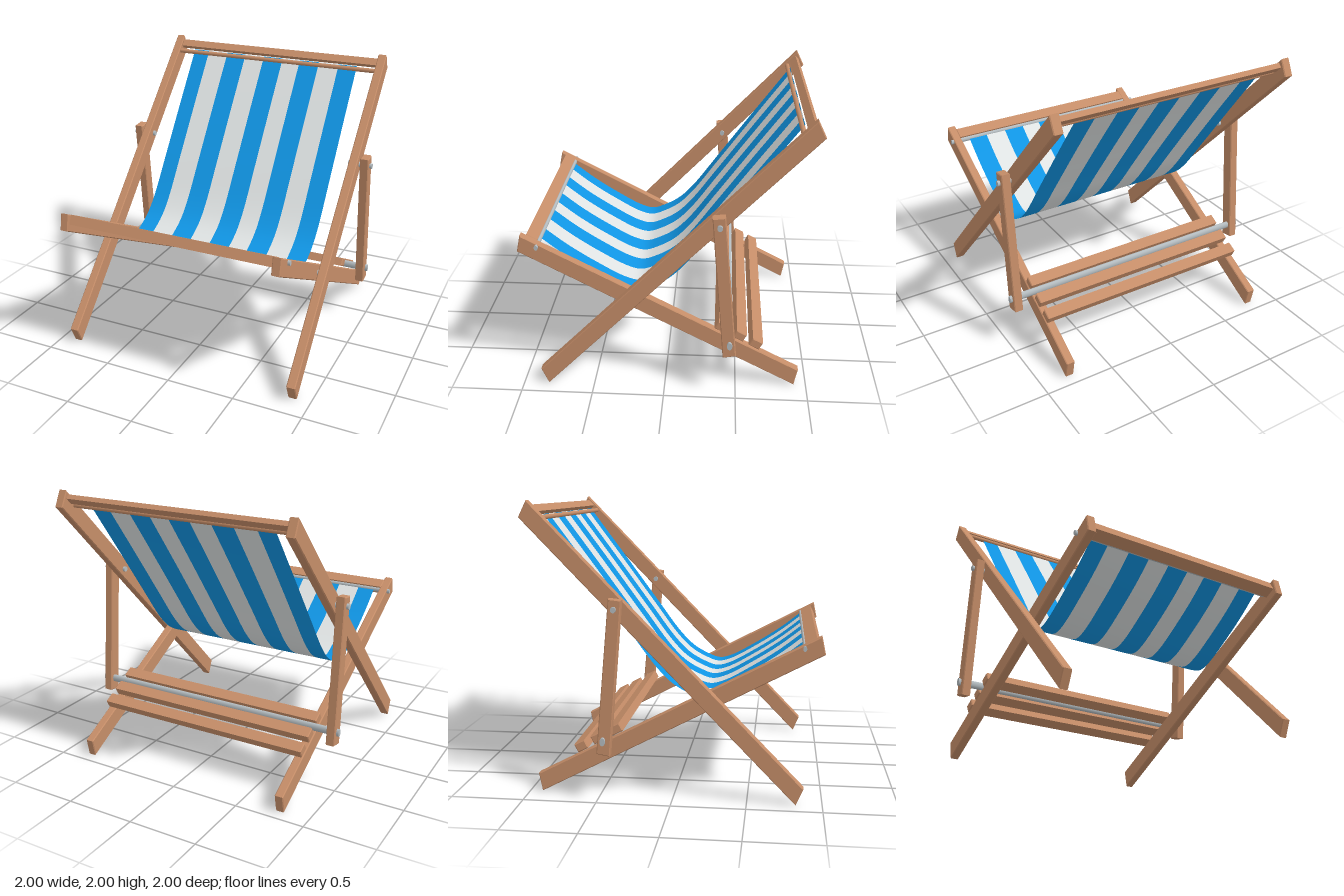
import * as THREE from 'three';

const mat = (name, color) => {
  const m = new THREE.MeshStandardMaterial({ color });
  m.name = name;
  return m;
};

export function createModel() {
  const wood = mat('wood', 0xc58d68);
  const steel = mat('steel', 0xb4bcc0);
  const blue = mat('blueCanvas', 0x1095e4);
  const white = mat('whiteCanvas', 0xdfe3e3);
  blue.side = white.side = THREE.DoubleSide;

  const chair = new THREE.Group();
  chair.name = 'deckChair';

  const add = (name, geometry, material) => {
    const mesh = new THREE.Mesh(geometry, material);
    mesh.name = name;
    chair.add(mesh);
    return mesh;
  };

  // Plank with softened edges: outline in (z, y), thickness along x
  const plank = (name, outline, x, width) => {
    const shape = new THREE.Shape(outline.map(([z, y]) => new THREE.Vector2(z, y)));
    const b = 0.006;
    const g = new THREE.ExtrudeGeometry(shape, {
      depth: width - 2 * b, bevelEnabled: true, bevelSize: b,
      bevelThickness: b, bevelOffset: -b, bevelSegments: 1,
    });
    g.translate(0, 0, b - width / 2);
    g.rotateY(-Math.PI / 2);
    return add(name, g, wood).position.setX(x);
  };

  // Crosswise bar of rectangular section, tilted in the (z, y) plane
  const bar = (name, z, y, along, thick, angle, length) => {
    const c = Math.cos(angle), s = Math.sin(angle);
    const outline = [[-1, -1], [1, -1], [1, 1], [-1, 1]].map(([u, v]) => {
      const a = u * along / 2, t = v * thick / 2;
      return [z + a * c - t * s, y + a * s + t * c];
    });
    plank(name, outline, 0, length);
  };

  // Crosswise round rod between x0 and x1
  const rod = (name, z, y, x0, x1, rz, ry, material) => {
    const g = new THREE.CylinderGeometry(1, 1, x1 - x0, 16);
    g.rotateZ(Math.PI / 2);
    g.scale(1, ry, rz);
    add(name, g, material).position.set((x0 + x1) / 2, y, z);
  };

  // Side rails, props and pivots, mirrored left and right
  for (const [side, s] of [['left', 1], ['right', -1]]) {
    plank(side + 'BackRail', [[0.825, 0.005], [0.875, 0.12], [-0.945, 2.0], [-1.0, 1.89]], s * 0.87, 0.065);
    plank(side + 'SeatRail', [[-0.915, 0.005], [1.0, 1.01], [0.975, 1.13], [-0.94, 0.13]], s * 0.79, 0.062);
    plank(side + 'Prop', [[-0.405, 0.322], [-0.495, 0.338], [-0.4, 1.377], [-0.315, 1.367]].reverse(), s * 0.95, 0.065);
    const span = (a, b) => (s > 0 ? [a, b] : [-b, -a]);
    rod(side + 'PropBolt', -0.365, 1.307, ...span(0.82, 1.0), 0.018, 0.02, steel);
    rod(side + 'FramePivot', 0.249, 0.685, ...span(0.78, 0.88), 0.02, 0.02, steel);
  }

  // Cross members of the two frames
  const backTilt = -Math.atan2(1.88, 1.825);
  const seatTilt = Math.atan2(1.0, 1.915);
  bar('backTopBar', -0.922, 1.936, 0.06, 0.036, backTilt, 1.68);
  bar('seatFrontBar', 0.92, 1.065, 0.085, 0.07, seatTilt, 1.53);
  rod('canvasTopDowel', -0.87, 1.886, -0.85, 0.85, 0.017, 0.017, wood);
  rod('canvasFrontRod', 0.865, 1.05, -0.84, 0.84, 0.013, 0.018, steel);
  rod('propRod', -0.45, 0.427, -1.0, 1.0, 0.018, 0.028, steel);

  // Notched slats that catch the prop rod
  [[-0.395, 0.463], [-0.522, 0.396], [-0.636, 0.335]].forEach(([z, y], i) =>
    bar('propSlat' + (i + 1), z, y, 0.08, 0.062, seatTilt, 1.64));

  // Sagging striped canvas
  const profile = new THREE.CatmullRomCurve3([
    [-0.885, 1.905], [-0.6, 1.52], [-0.33, 1.15], [-0.13, 0.88], [-0.016, 0.767], [0.1, 0.7],
    [0.2, 0.667], [0.3, 0.69], [0.5, 0.8], [0.7, 0.93], [0.873, 1.065],
  ].map(([z, y]) => new THREE.Vector3(0, y, z)));
  const steps = 48;
  const points = profile.getPoints(steps);
  const edges = [-0.71, -0.58, -0.412, -0.25, -0.087, 0.075, 0.222, 0.382, 0.544, 0.69];
  for (let i = 0; i < edges.length - 1; i++) {
    const g = new THREE.PlaneGeometry(1, 1, 1, steps);
    const p = g.attributes.position;
    for (let k = 0; k < p.count; k++) {
      const q = points[Math.floor(k / 2)];
      p.setXYZ(k, edges[i + (k % 2)], q.y, q.z);
    }
    g.computeVertexNormals();
    add('canvasStripe' + (i + 1), g, i % 2 ? white : blue);
  }

  return chair;
}
